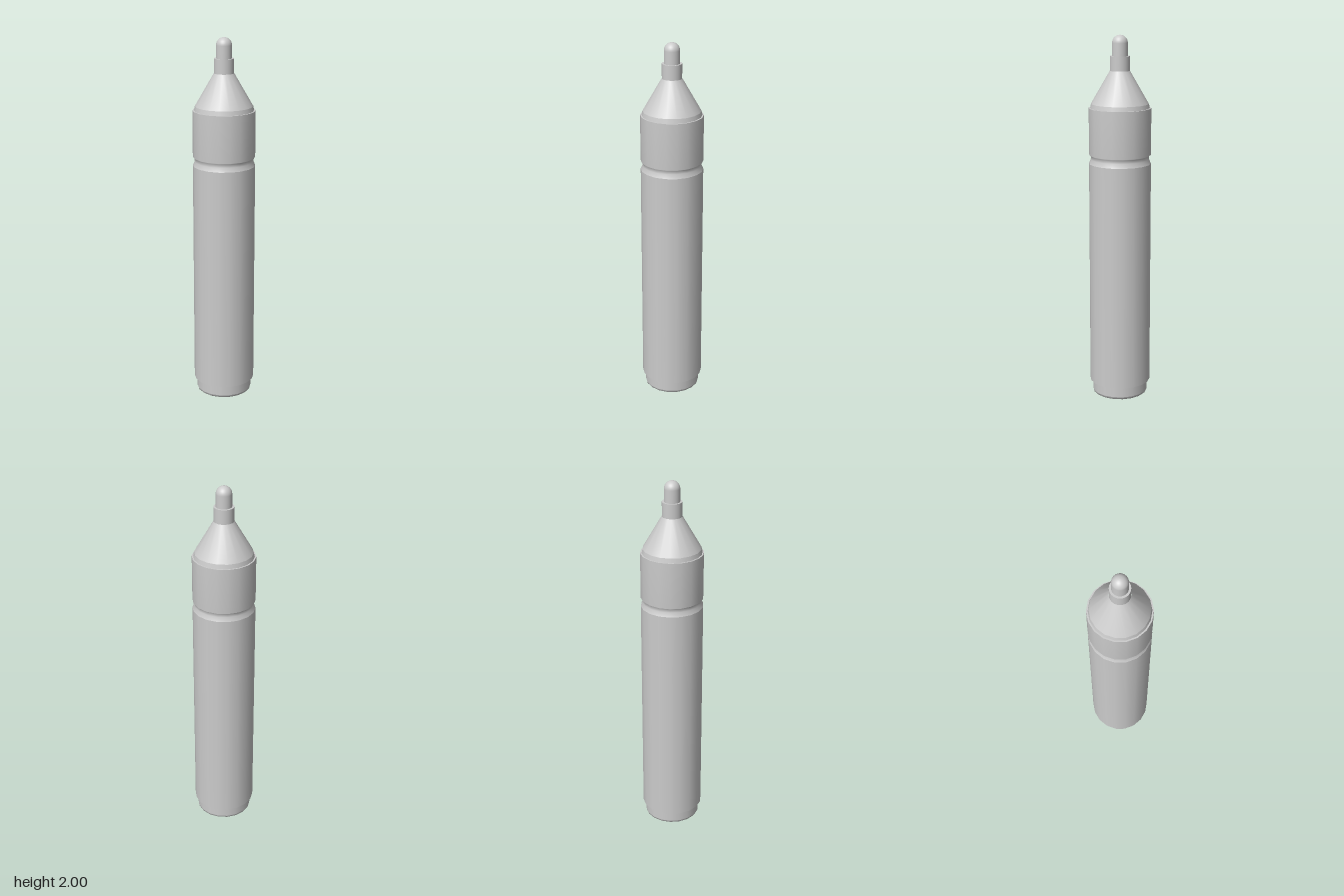
import * as THREE from 'three';

const material = new THREE.MeshStandardMaterial({ color: 0xcccccc });

// Revolve one smooth profile per run; runs meet at sharp edges.
function turned(name, sides, runs) {
  const part = new THREE.Group();
  part.name = name;
  runs.forEach((run, i) => {
    const points = run.map(([r, y]) => new THREE.Vector2(r, y));
    const mesh = new THREE.Mesh(new THREE.LatheGeometry(points, sides), material);
    mesh.name = `${name}Surface${i + 1}`;
    mesh.rotation.y = Math.PI / 2; // puts a corner on the x axis
    part.add(mesh);
  });
  return part;
}

export function createModel() {
  const model = new THREE.Group();
  model.name = 'markerPen';

  // End plug with a small rounded rim
  model.add(turned('endPlug', 18, [
    [[0, 0], [0.142, 0]],
    [[0.142, 0], [0.15, 0.006], [0.153, 0.016]],
    [[0.153, 0.016], [0.153, 0.08]],
  ]));

  // Barrel with an overhanging lower lip
  model.add(turned('barrel', 18, [
    [[0.15, 0.075], [0.168, 0.075]],
    [[0.168, 0.075], [0.168, 1.315]],
  ]));

  // Grip: groove softly shaded into the upper band, then a flat shoulder
  model.add(turned('grip', 18, [
    [[0.168, 1.315], [0.158, 1.338], [0.158, 1.357], [0.168, 1.363], [0.168, 1.615]],
    [[0.168, 1.615], [0.155, 1.615]],
  ]));

  // Tapered shoulder, slightly rounded at its foot
  model.add(turned('cone', 18, [
    [[0.16, 1.615], [0.155, 1.638]],
    [[0.155, 1.638], [0.054, 1.812]],
  ]));

  // Collar holding the nib
  model.add(turned('collar', 36, [
    [[0.053, 1.805], [0.053, 1.89]],
    [[0.053, 1.89], [0.035, 1.89]],
  ]));

  // Nib with a domed end
  const r = 0.042;
  const dome = [[r, 1.88]];
  for (let i = 0; i <= 8; i++) {
    const a = (i / 8) * Math.PI / 2;
    dome.push([i === 8 ? 0 : r * Math.cos(a), 2 - r + r * Math.sin(a)]);
  }
  model.add(turned('nib', 36, [dome]));

  return model;
}
